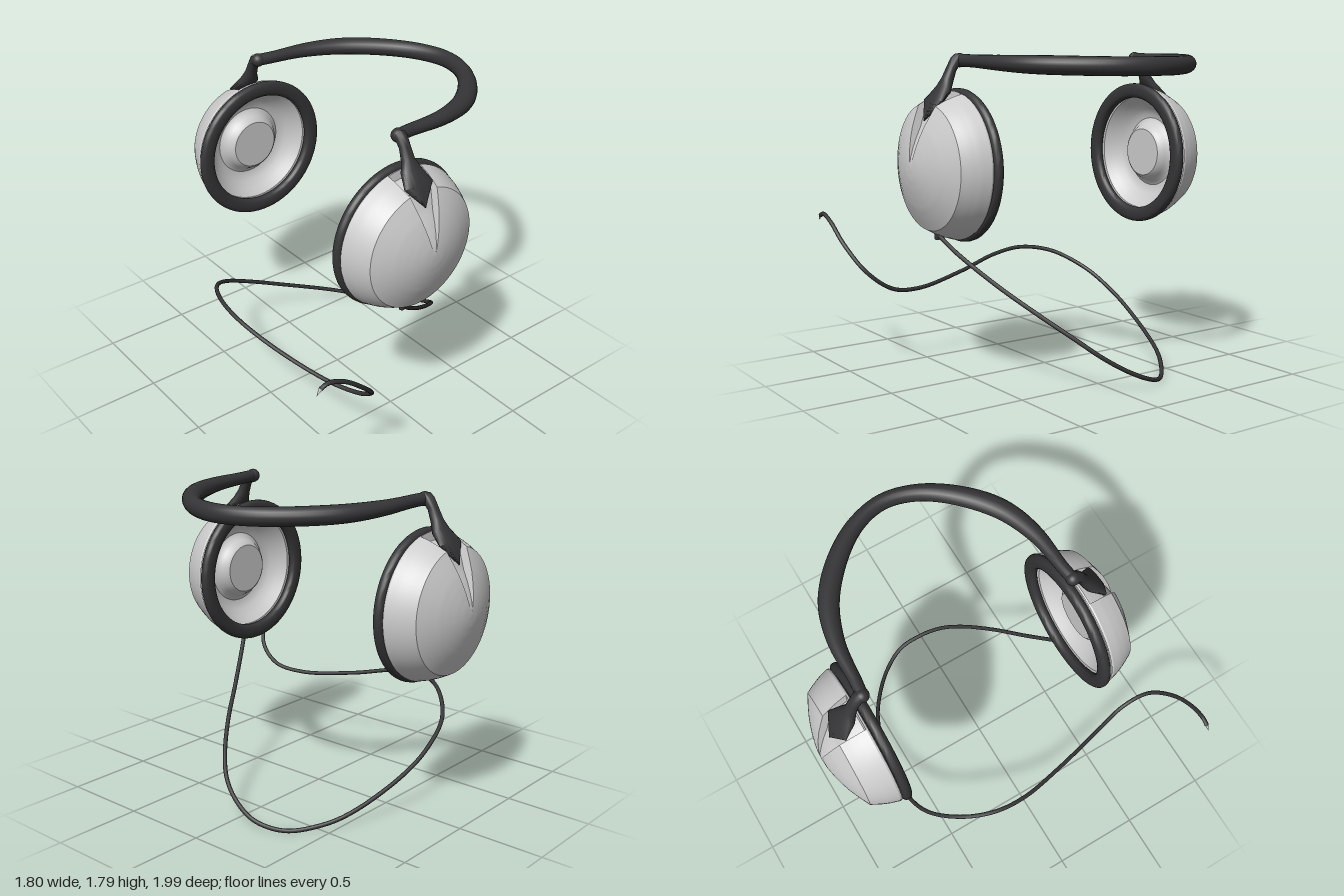
import * as THREE from 'three';
import { toCreasedNormals } from 'three/addons/utils/BufferGeometryUtils.js';

const V = (x, y, z) => new THREE.Vector3(x, y, z);
const grey = new THREE.MeshStandardMaterial({ color: 0xcccccc });
const dark = new THREE.MeshStandardMaterial({ color: 0x353537 });

function add(parent, name, geometry, material) {
  const mesh = new THREE.Mesh(geometry, material);
  mesh.name = name;
  parent.add(mesh);
  return mesh;
}

// Joins a grid of points (rows of equal length) into a surface
function skin(rows) {
  const n = rows[0].length, index = [];
  for (let i = 0; i < rows.length - 1; i++)
    for (let j = 0; j < n - 1; j++) {
      const a = i * n + j, c = a + n;
      index.push(a, c, c + 1, a, c + 1, a + 1);
    }
  const g = new THREE.BufferGeometry().setFromPoints(rows.flat());
  g.setIndex(index);
  return g;
}

// Elliptical section swept along points; half sizes come from width(i) and height(i)
function sweep(points, width, height, ref, sides = 20) {
  const rows = points.map((p, i) => {
    const t = points[Math.min(i + 1, points.length - 1)].clone().sub(points[Math.max(i - 1, 0)]).normalize();
    const s = t.clone().cross(ref).normalize(), n = s.clone().cross(t);
    return Array.from({ length: sides + 1 }, (_, j) => {
      const a = (j / sides) * Math.PI * 2;
      return p.clone().addScaledVector(s, Math.cos(a) * width(i)).addScaledVector(n, Math.sin(a) * height(i));
    });
  });
  return toCreasedNormals(skin(rows), 0.7);
}

// Lathe whose axis is z
function latheZ(profile, crease) {
  const g = new THREE.LatheGeometry(profile.map(([r, z]) => new THREE.Vector2(r, z)), 72);
  return toCreasedNormals(g.rotateX(Math.PI / 2), crease);
}

// Domed shell with a bevelled rim and a tapering notch sunk into its upper half
function shellGeometry() {
  const key = [[0.4, 0.654], [0.403, 0.665], [0.386, 0.72], [0.365, 0.768], [0.34, 0.815],
    [0.28, 0.845], [0.22, 0.872], [0.17, 0.889], [0.12, 0.903], [0.06, 0.915], [0, 0.9195]];
  const profile = [];
  for (let k = 0; k < key.length - 1; k++)
    for (let s = 0; s < 3; s++) {
      const f = s / 3, [r0, z0] = key[k], [r1, z1] = key[k + 1];
      const l = Math.hypot(r1 - r0, z1 - z0);
      profile.push([r0 + (r1 - r0) * f, z0 + (z1 - z0) * f, (z1 - z0) / l, (r0 - r1) / l]);
    }
  profile.push([0, 0.9195, 0, 1]);
  const rows = profile.map(([r, z, nr, nz]) => {
    const half = r > 0.04 ? Math.asin((0.012 + 0.09 * (r - 0.04) / 0.35) / r) : 0.3;
    const depth = z < 0.67 ? 0 : 0.045 * THREE.MathUtils.clamp((r - 0.03) / 0.2, 0, 1);
    const at = (a, d) => V((r - nr * d) * Math.sin(a), (r - nr * d) * Math.cos(a), z - nz * d);
    const row = [];
    for (let j = 0; j <= 6; j++) row.push(at(half * (j / 3 - 1), depth));
    for (let j = 0; j <= 72; j++) row.push(at(half + (2 * Math.PI - 2 * half) * (j / 72), 0));
    row.push(row[0].clone());
    return row;
  });
  return toCreasedNormals(skin(rows), 0.36);
}

// One ear cup with its arm; +z points outward
function makeSide() {
  const side = new THREE.Group();
  const cup = new THREE.Group();
  cup.name = 'earCup';
  cup.position.y = 1.19;
  side.add(cup);
  add(cup, 'shell', shellGeometry(), grey);

  // Inner dish with a raised flat-topped centre boss
  add(cup, 'innerDish', latheZ([[0, 0.678], [0.14, 0.678], [0.155, 0.69], [0.17, 0.715], [0.185, 0.74], [0.205, 0.75],
    [0.23, 0.745], [0.26, 0.728], [0.3, 0.692], [0.335, 0.651], [0.4, 0.651]], 0.6), grey);

  // Rounded cushion ring
  const ring = [];
  for (let i = 0; i <= 20; i++) {
    const a = (i / 20) * Math.PI * 2 - Math.PI / 2, c = Math.cos(a), s = Math.sin(a);
    ring.push([0.374 + 0.043 * Math.sign(c) * Math.abs(c) ** 0.8, 0.62 + 0.029 * Math.sign(s) * Math.abs(s) ** 0.8]);
  }
  add(cup, 'cushion', latheZ(ring, 1), dark);

  // Arm: pointed foot in the notch, thin neck, round elbow
  const stations = [ // y, z, half width, half thickness
    [1.438, 0.834, 0.001, 0.004], [1.54, 0.776, 0.093, 0.024], [1.6, 0.713, 0.062, 0.036],
    [1.65, 0.688, 0.037, 0.032], [1.71, 0.662, 0.032, 0.027], [1.75, 0.635, 0.034, 0.031], [1.765, 0.615, 0.034, 0.031]];
  add(side, 'arm', sweep(stations.map(([y, z]) => V(0, y, z)),
    i => stations[i][2], i => stations[i][3], V(0, 0, 1)), dark);
  add(side, 'elbow', new THREE.SphereGeometry(0.038, 20, 14), dark).position.set(0, 1.754, 0.61);
  return side;
}

export function createModel() {
  const model = new THREE.Group();
  model.name = 'headphones';
  const midZ = -0.0775;

  // Two matching sides, the rear one turned round
  ['frontSide', 'rearSide'].forEach((name, i) => {
    const side = makeSide();
    side.name = name;
    side.position.set(-0.035, 0, midZ);
    side.rotation.y = i * Math.PI;
    model.add(side);
  });

  // Headband, fullest on the two shoulders of its curve
  const half = [[-0.035, 1.754, 0.61], [0.05, 1.752, 0.6], [0.28, 1.745, 0.583], [0.495, 1.738, 0.511],
    [0.686, 1.733, 0.358], [0.814, 1.73, 0.178]];
  const path = [...half.map(([x, y, z]) => V(x, y, z + midZ)), V(0.858, 1.73, midZ),
    ...half.slice().reverse().map(([x, y, z]) => V(x, y, midZ - z))];
  const band = new THREE.CatmullRomCurve3(path).getSpacedPoints(80);
  const swell = i => THREE.MathUtils.smoothstep(Math.sin((i / 80) * Math.PI), 0.1, 0.8);
  const shoulder = i => Math.sin((i / 80) * Math.PI * 2) ** 2;
  add(model, 'headband', sweep(band, i => 0.032 + 0.009 * swell(i) + 0.016 * shoulder(i),
    i => 0.034 + 0.015 * swell(i), V(0, 1, 0)), dark);

  // Loose cable
  const cable = new THREE.CatmullRomCurve3([
    [-0.08, 0.82, 0.66], [0.01, 0.725, 0.6], [0.21, 0.56, 0.468], [0.41, 0.418, 0.335], [0.57, 0.295, 0.205],
    [0.663, 0.203, 0.1], [0.716, 0.122, -0.025], [0.727, 0.055, -0.17], [0.65, 0.016, -0.32], [0.49, 0.042, -0.465],
    [0.345, 0.09, -0.545], [0.03, 0.215, -0.63], [-0.18, 0.315, -0.645], [-0.39, 0.43, -0.6], [-0.55, 0.535, -0.45],
    [-0.63, 0.567, -0.27], [-0.64, 0.543, -0.08], [-0.58, 0.475, 0.21], [-0.49, 0.43, 0.555], [-0.45, 0.46, 0.75],
    [-0.48, 0.565, 0.89], [-0.6, 0.71, 0.965], [-0.74, 0.83, 0.983], [-0.835, 0.865, 0.983],
    [-0.875, 0.85, 0.982]].map(p => V(...p)));
  add(model, 'cable', new THREE.TubeGeometry(cable, 260, 0.012, 10), dark);

  // Strain relief under the front cup and bare tip at the loose end
  const relief = add(model, 'strainRelief', new THREE.CylinderGeometry(0.02, 0.016, 0.05, 16), dark);
  relief.position.set(-0.08, 0.812, 0.657);
  const tip = add(model, 'cableTip', new THREE.ConeGeometry(0.011, 0.045, 12), grey);
  tip.position.set(-0.887, 0.836, 0.982);
  tip.quaternion.setFromUnitVectors(V(0, 1, 0), V(-0.6, -0.8, 0));
  return model;
}
